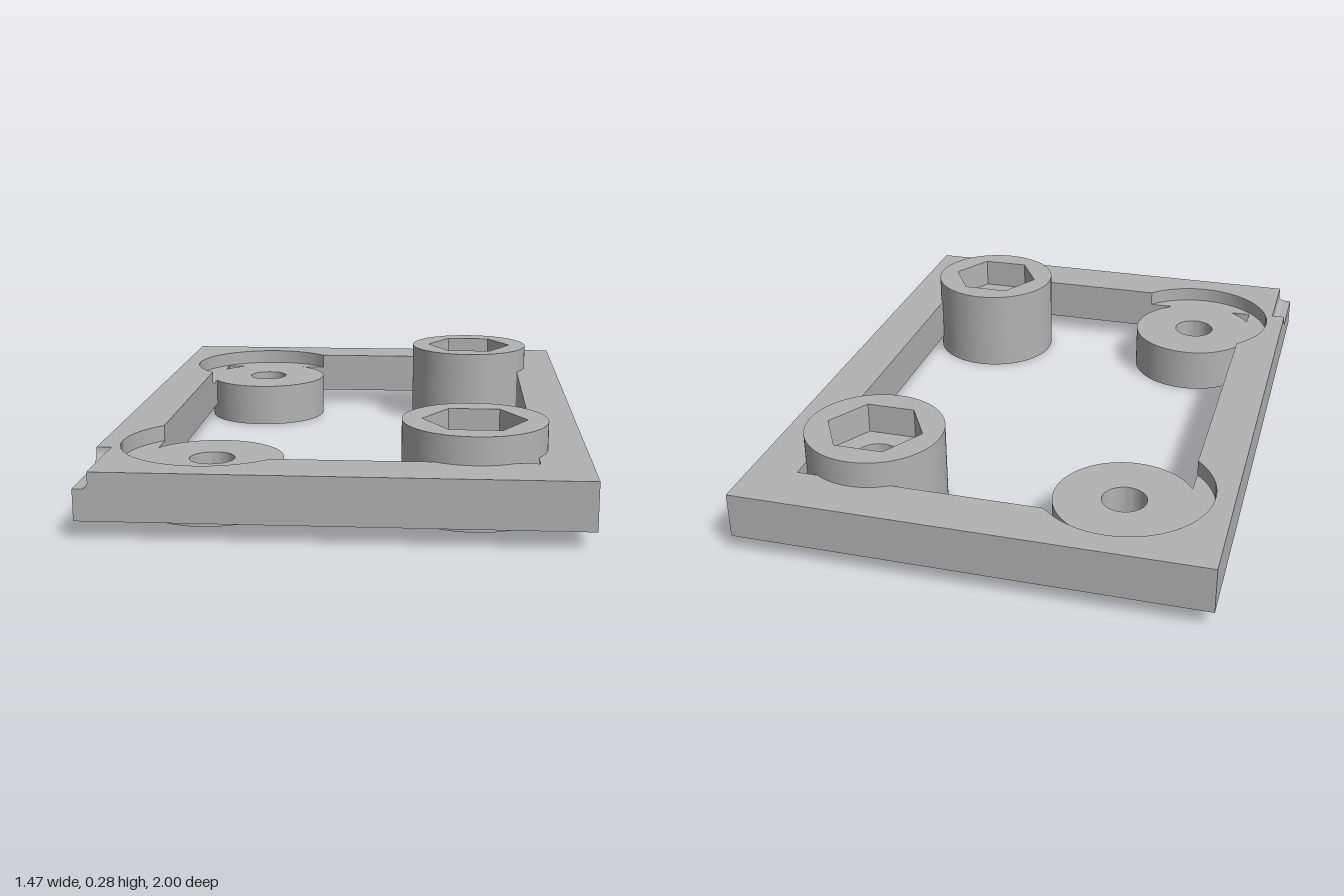
import * as THREE from 'three';
import { toCreasedNormals } from 'three/addons/utils/BufferGeometryUtils.js';

const BASE = 0.055, FLOOR = 0.15, TOP = 0.2;   // frame underside, pocket floor, frame top
const BOSS_R = 0.22, HOLE_R = 0.07, POCKET_R = 0.275;
const BOSS_X = 0.4, BOSS_Z = 0.64;
const W = 0.735, L = 1;                        // frame half width and half length
const IN_L = -0.59, IN_R = 0.585, IN_Z = 0.825; // frame opening

export function createModel() {
  const group = new THREE.Group();
  const grey = new THREE.MeshStandardMaterial({ color: 0xb3b3b3 });
  grey.name = 'plain grey';

  function add(name, geometry) {
    const mesh = new THREE.Mesh(geometry, grey);
    mesh.name = name;
    group.add(mesh);
    return mesh;
  }

  // Plan outline (x, -z) raised from y0 to y1
  function slab(shape, y0, y1) {
    const g = new THREE.ExtrudeGeometry(shape, { depth: y1 - y0, bevelEnabled: false, curveSegments: 48 });
    g.rotateX(-Math.PI / 2).translate(0, y0, 0);
    return toCreasedNormals(g, 0.5);
  }

  const polygon = pts => new THREE.Shape(pts.map(p => new THREE.Vector2(...p)));

  // Lower layer: plain rectangular frame
  const lower = polygon([[-W, -L], [W, -L], [W, L], [-W, L]]);
  lower.holes.push(polygon([[IN_L, -IN_Z], [IN_L, IN_Z], [IN_R, IN_Z], [IN_R, -IN_Z]]));
  add('frameBase', slab(lower, BASE, FLOOR));

  // Upper layer: round pockets around the low bosses and a corner notch
  const notchX = -0.69, notchZ = 0.725;
  const upper = polygon([[notchX, -L], [W, -L], [W, L], [-W, L], [-W, -notchZ], [notchX, -notchZ]]);
  const dx = Math.sqrt(POCKET_R ** 2 - (IN_Z - BOSS_Z) ** 2);
  const dz = Math.sqrt(POCKET_R ** 2 - (IN_L + BOSS_X) ** 2);
  const a0 = Math.atan2(IN_Z - BOSS_Z, dx);
  const a1 = Math.atan2(-dz, IN_L + BOSS_X) + Math.PI * 2;
  const opening = new THREE.Path();
  opening.moveTo(IN_R, -IN_Z);
  opening.lineTo(IN_R, IN_Z);
  opening.absarc(-BOSS_X, BOSS_Z, POCKET_R, a0, a1, false);
  opening.absarc(-BOSS_X, -BOSS_Z, POCKET_R, Math.PI * 2 - a1, Math.PI * 2 - a0, false);
  opening.closePath();
  upper.holes.push(opening);
  add('frameTop', slab(upper, FLOOR, TOP));

  // Concave fillet filling an inside corner at the origin, running along +z
  function fillet(r, height, length) {
    const s = new THREE.Shape();
    s.moveTo(0, 0);
    s.lineTo(r, 0);
    s.absellipse(r, height, r, height, -Math.PI / 2, -Math.PI, true);
    s.closePath();
    const g = new THREE.ExtrudeGeometry(s, { depth: length, bevelEnabled: false, curveSegments: 10 });
    return toCreasedNormals(g, 0.5);
  }
  const side = add('notchSideFillet', fillet(0.02, 0.02, L - notchZ));
  side.rotation.y = Math.PI;
  side.position.set(notchX, FLOOR, L);
  const end = add('notchEndFillet', fillet(0.05, TOP - FLOOR, notchX + W));
  end.rotation.y = -Math.PI / 2;
  end.position.set(notchX, FLOOR, notchZ);

  // Disc with a round or hexagonal hole
  function disc(x, z, y0, y1, hexRadius) {
    const s = new THREE.Shape().absarc(0, 0, BOSS_R, 0, Math.PI * 2, false);
    if (hexRadius) {
      const pts = [];
      for (let i = 0; i < 6; i++) {
        const a = -i * Math.PI / 3;
        pts.push([hexRadius * Math.cos(a), hexRadius * Math.sin(a)]);
      }
      s.holes.push(polygon(pts));
    } else {
      s.holes.push(new THREE.Path().absarc(0, 0, HOLE_R, 0, Math.PI * 2, true));
    }
    return slab(s, y0, y1).translate(x, 0, z);
  }

  // Low bosses on the right side, tall bosses with hex sockets on the left side
  for (const [end, z] of [['front', BOSS_Z], ['back', -BOSS_Z]]) {
    add(end + 'LowBoss', disc(-BOSS_X, z, 0, FLOOR));
    add(end + 'TallBoss', disc(BOSS_X, z, 0, 0.185));
    add(end + 'HexSocket', disc(BOSS_X, z, 0.185, 0.285, 0.158));
  }
  return group;
}
